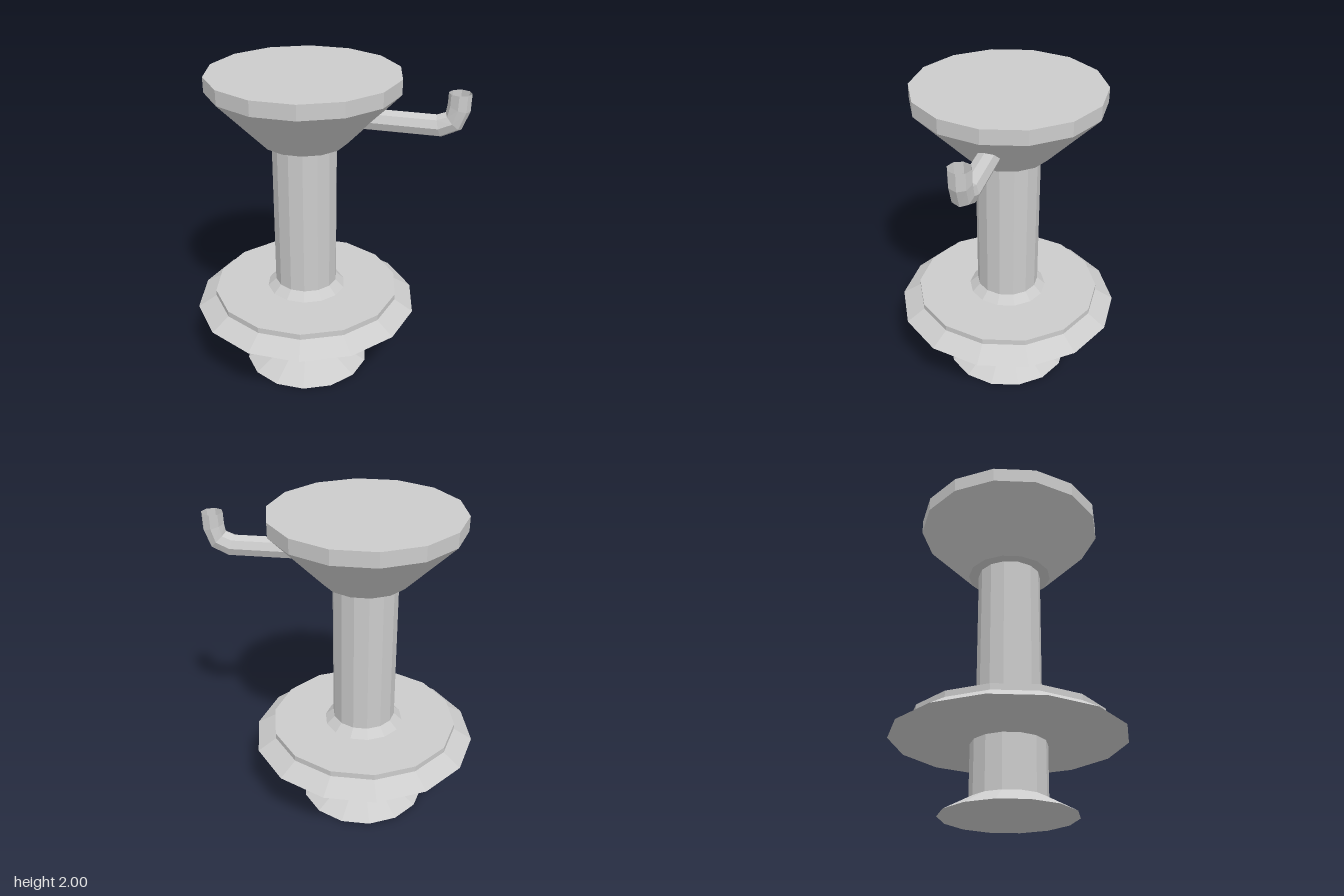
import * as THREE from 'three';

const SIDES = 14;
const AXIS_X = -0.13;

export function createModel() {
  const group = new THREE.Group();
  const material = new THREE.MeshStandardMaterial({ color: 0xcccccc, flatShading: true });
  const openMaterial = material.clone();
  openMaterial.side = THREE.DoubleSide;

  // Turned part from [radius, height] pairs, listed bottom to top
  function turned(name, profile) {
    const geometry = new THREE.LatheGeometry(profile.map(([r, y]) => new THREE.Vector2(r, y)), SIDES);
    geometry.rotateY(Math.PI / 2);
    const mesh = new THREE.Mesh(geometry, material);
    mesh.name = name;
    mesh.position.x = AXIS_X;
    group.add(mesh);
  }

  // Flared foot and lower stem
  turned('foot', [[0, 0], [0.41, 0], [0.232, 0.098]]);
  turned('lowerStem', [[0.232, 0.098], [0.232, 0.43]]);
  // Wide sloped disc with a raised flat plate
  turned('disc', [[0.232, 0.43], [0.716, 0.46], [0.597, 0.533], [0.597, 0.57], [0.253, 0.57]]);
  // Collar and column
  turned('collar', [[0.253, 0.57], [0.2, 0.62]]);
  turned('column', [[0.2, 0.62], [0.2, 1.58]]);
  // Funnel-shaped head with a closed top
  turned('head', [[0.2, 1.58], [0.264, 1.58], [0.582, 1.91], [0.582, 2], [0, 2]]);

  // Bent open pipe: rings given as [x, y, tilt in degrees, mitre scale]
  const rings = [
    [0.15, 1.75, 0, 1], [0.672, 1.75, 15, 1.035], [0.75, 1.785, 45, 1.035],
    [0.775, 1.865, 75, 1.035], [0.777, 1.95, 90, 1],
  ];
  const n = 8, radius = 0.065;
  const positions = [], index = [];
  rings.forEach(([x, y, tilt, mitre], i) => {
    const a = THREE.MathUtils.degToRad(tilt);
    for (let j = 0; j < n; j++) {
      const t = (j / n) * Math.PI * 2;
      const u = Math.cos(t) * radius * mitre;
      positions.push(x - Math.sin(a) * u, y + Math.cos(a) * u, Math.sin(t) * radius);
      if (i < rings.length - 1) {
        const k = (j + 1) % n, p = i * n, q = p + n;
        index.push(p + j, p + k, q + k, p + j, q + k, q + j);
      }
    }
  });
  const pipeGeometry = new THREE.BufferGeometry();
  pipeGeometry.setAttribute('position', new THREE.Float32BufferAttribute(positions, 3));
  pipeGeometry.setIndex(index);
  pipeGeometry.computeVertexNormals();
  const pipe = new THREE.Mesh(pipeGeometry, openMaterial);
  pipe.name = 'spoutPipe';
  group.add(pipe);

  return group;
}
